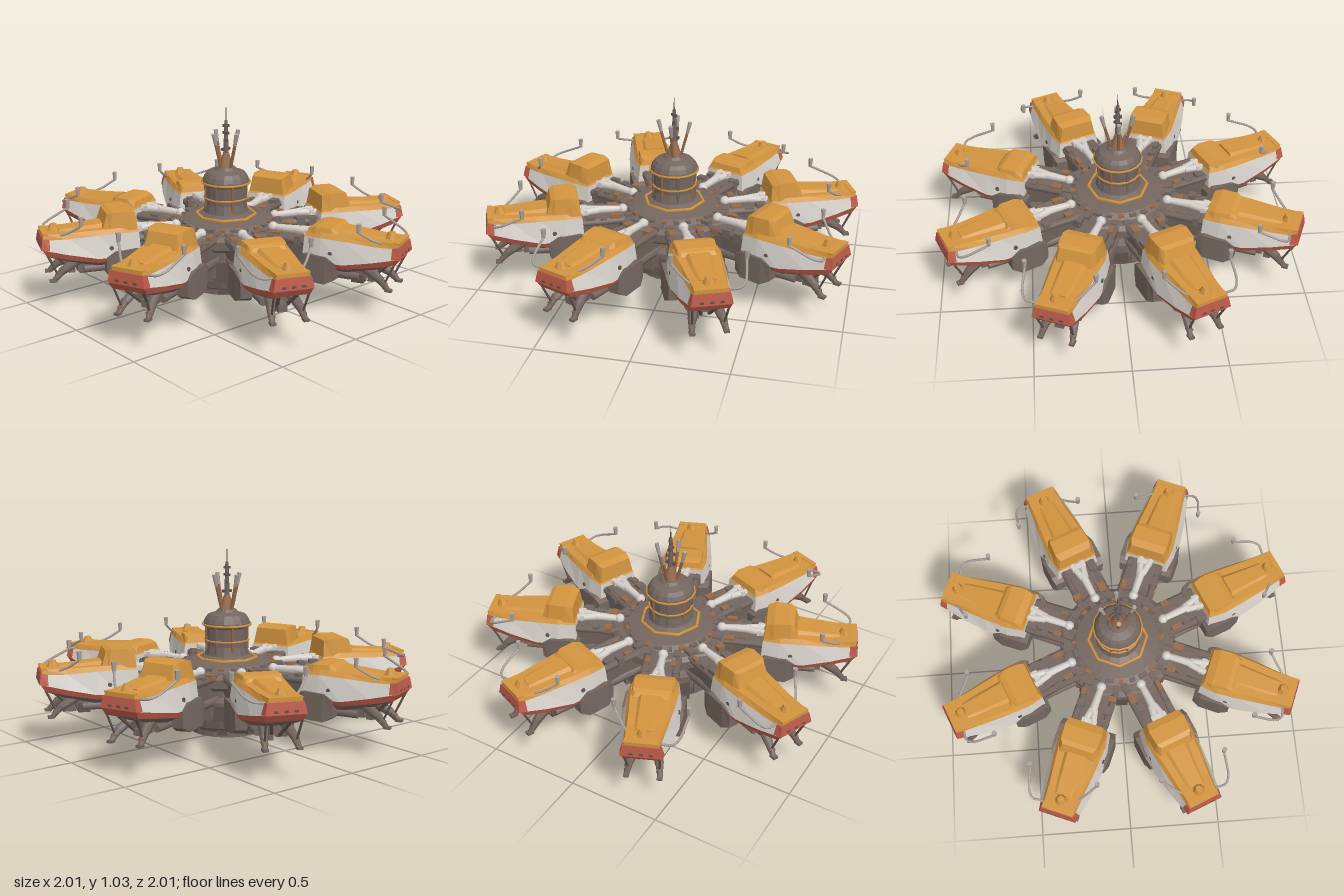
import * as THREE from 'three';

const mat = (name, color) => Object.assign(new THREE.MeshStandardMaterial({ color }), { name });
const GREY = mat('grey brown metal', 0x74665f);
const DARK = mat('dark metal', 0x5f544f);
const ORANGE = mat('orange paint', 0xd2943f);
const WHITE = mat('off white paint', 0xd6d0ca);
const RED = mat('red paint', 0xbd5b49);
const RUST = mat('rust brown', 0x95694a);
const PALE = mat('pale metal', 0xaba19b);

let seed = 7;
const rnd = (a, b) => {
  seed = (seed * 16807) % 2147483647;
  return a + (b - a) * (seed / 2147483647);
};

function flat(g) {
  const f = g.index ? g.toNonIndexed() : g;
  f.computeVertexNormals();
  return f;
}
function add(parent, name, geo, material, x = 0, y = 0, z = 0) {
  const m = new THREE.Mesh(geo, material);
  m.name = name;
  m.position.set(x, y, z);
  parent.add(m);
  return m;
}
const box = (p, n, m, w, h, d, x, y, z) => add(p, n, new THREE.BoxGeometry(w, h, d), m, x, y, z);

// Straight round bar between two points, with its own end radii
function bar(parent, name, material, a, b, r0, r1 = r0, sides = 6) {
  const A = new THREE.Vector3(...a), B = new THREE.Vector3(...b);
  const m = add(parent, name, new THREE.CylinderGeometry(r1, r0, A.distanceTo(B), sides), material);
  m.position.copy(A).lerp(B, 0.5);
  m.quaternion.setFromUnitVectors(new THREE.Vector3(0, 1, 0), B.sub(A).normalize());
  return m;
}

// Closed hull slice between a lower and an upper rail; rail points are [z, half width, y]
function slice(low, high) {
  const rings = low.map(([z, w, y], i) => {
    const [Z, W, Y] = high[i];
    return [[-w, y, z], [w, y, z], [W, Y, Z], [-W, Y, Z]];
  });
  const pos = [];
  const quad = (a, b, c, d) => pos.push(...a, ...b, ...c, ...a, ...c, ...d);
  for (let i = 0; i < rings.length - 1; i++)
    for (let j = 0; j < 4; j++) {
      const k = (j + 1) % 4;
      quad(rings[i][j], rings[i][k], rings[i + 1][k], rings[i + 1][j]);
    }
  quad(...rings[rings.length - 1]);
  quad(...[...rings[0]].reverse());
  const g = new THREE.BufferGeometry();
  g.setAttribute('position', new THREE.Float32BufferAttribute(pos, 3));
  g.computeVertexNormals();
  return g;
}

const KEEL = [[.54, .08, .24], [.62, .09, .235], [.75, .09, .235], [.9, .07, .265], [.97, .06, .295]];
const CHINE = [[.52, .122, .295], [.62, .14, .265], [.75, .14, .265], [.9, .122, .29], [1.015, .096, .312]];
const BELT = [[.52, .128, .318], [.62, .15, .288], [.75, .15, .29], [.9, .132, .32], [1.04, .104, .352]];
const GUNWALE = [[.525, .118, .41], [.62, .132, .415], [.75, .122, .41], [.9, .104, .40], [1.03, .09, .40]];
const DECK = [[.54, .108, .43], [.62, .116, .44], [.75, .104, .435], [.9, .09, .428], [1.03, .082, .43]];

function pod(s, tall) {
  const g = new THREE.Group();
  // Layered hull with a red nose
  add(g, 'podKeel', slice(KEEL, CHINE), GREY);
  add(g, 'podRedBelt', slice(CHINE, BELT), RED);
  add(g, 'podWhiteSides', slice(BELT, GUNWALE), WHITE);
  add(g, 'podRoof', slice(GUNWALE, DECK), ORANGE);
  add(g, 'podNose', slice([[1.0, .112, .342], [1.045, .104, .35]], [[1.0, .095, .403], [1.036, .092, .41]]), RED);

  // Cabin at the inner end, and roof details
  const top = tall ? .522 : .463;
  add(g, 'cabin', slice(
    [[.53, .112, .42], [.58, .12, .42], [.68, .114, .42], [.72, .098, .42]],
    [[.538, .095, top - .012], [.58, .106, top], [.665, .10, top], [.69, .085, top - .01]]), ORANGE);
  add(g, 'roofRidge', slice([[.70, .075, .43], [.94, .05, .425]], [[.70, .05, .455], [.94, .035, .435]]), ORANGE);
  add(g, 'roofKnob', flat(new THREE.CylinderGeometry(.018, .034, .035, 8)), ORANGE, 0, .445, .965);
  box(g, 'tipLip', ORANGE, .172, .008, .03, 0, .428, 1.018);
  for (const x of [-.05, 0, .05]) box(g, 'tipVent', DARK, .022, .012, .008, x, .365, 1.04);
  for (const u of [-1, 1]) {
    const port = add(g, 'sidePort', new THREE.CylinderGeometry(.012, .012, .008, 8), DARK, u * .139, .34, .68);
    port.rotation.z = Math.PI / 2 + u * .1;
  }

  // Engine boxes under the inner end
  for (const u of [-1, 1]) {
    const e = add(g, 'engineBox', slice(
      [[.50, .03, .21], [.54, .042, .178], [.66, .042, .172], [.71, .03, .20]],
      [[.50, .04, .30], [.54, .05, .325], [.66, .05, .32], [.71, .04, .29]]), GREY, u * .138, 0, 0);
    e.rotation.z = u * .08;
    bar(g, 'enginePipe', GREY, [u * .07, .22, .5], [u * .07, .215, .82], .026, .02, 8);
    // Landing legs with feet and braces
    bar(g, 'leg', GREY, [u * .05, .28, .83], [u * .075, .215, .94], .034, .022);
    bar(g, 'shin', GREY, [u * .075, .225, .93], [u * .085, .17, .985], .023, .014);
    box(g, 'foot', GREY, .028, .014, .036, u * .085, .172, .987);
    box(g, 'ankle', RUST, .03, .012, .03, u * .08, .198, .96);
    bar(g, 'legBrace', DARK, [u * .09, .32, 1.015], [u * .08, .20, .96], .006);
    bar(g, 'legBrace', DARK, [u * .05, .30, .97], [u * .02, .21, .88], .009);
  }
  box(g, 'belly', GREY, .12, .05, .26, 0, .225, .72);
  for (let i = 0; i < 5; i++)
    box(g, 'bellyFitting', i % 2 ? DARK : GREY, rnd(.03, .07), rnd(.03, .05), rnd(.03, .07), rnd(-.05, .05), rnd(.2, .22), .6 + i * .07);

  // Long bent arm on one side, short straight arm on the other
  const arm = (pts) => {
    const p = pts.map(([u, y, z]) => new THREE.Vector3(u * s, y, z));
    add(g, 'hookArm', new THREE.TubeGeometry(new THREE.CatmullRomCurve3(p, false, 'catmullrom', .3), 12, .007, 5), PALE);
    const e = p[p.length - 1];
    add(g, 'hookLamp', flat(new THREE.CylinderGeometry(.014, .01, .05, 6)), PALE, e.x, e.y + .022, e.z);
  };
  arm([[.08, .40, .99], [.15, .41, 1.0], [.185, .43, .96], [.212, .48, .85]]);
  arm([[-.07, .41, .96], [-.12, .44, .90], [-.165, .485, .842]]);
  return g;
}

function spoke() {
  const g = new THREE.Group();
  // Main beam with side rails
  add(g, 'beam', slice([[.18, .08, .25], [.36, .07, .25], [.56, .085, .23]], [[.18, .10, .385], [.36, .085, .375], [.56, .10, .385]]), GREY);
  for (const u of [-1, 1]) {
    bar(g, 'beamRail', GREY, [u * .085, .37, .24], [u * .085, .365, .56], .022, .022, 6);
    bar(g, 'lowerPipe', GREY, [u * .06, .24, .22], [u * .055, .23, .58], .03, .03, 8);
    for (let i = 0; i < 4; i++)
      box(g, 'beamFitting', i === 1 ? RUST : GREY, rnd(.025, .05), rnd(.03, .05), rnd(.03, .06), u * rnd(.065, .09), rnd(.36, .385), .27 + i * .07);
  }
  // White conduit along the top, forked at the pod end
  bar(g, 'conduit', WHITE, [0, .395, .29], [0, .40, .45], .018, .024, 8);
  for (const u of [-1, 1]) bar(g, 'conduitFork', WHITE, [u * .008, .40, .43], [u * .032, .40, .545], .02, .02, 8);
  add(g, 'conduitKnob', new THREE.SphereGeometry(.028, 8, 6), WHITE, 0, .395, .29);
  box(g, 'conduitClamp', WHITE, .085, .03, .03, 0, .402, .505);
  return g;
}

const lathe = (pts, sides) => flat(new THREE.LatheGeometry(pts.map((p) => new THREE.Vector2(...p)), sides));

function hub() {
  const g = new THREE.Group();
  add(g, 'hubBody', lathe([[0, .012], [.13, .012], [.2, .02], [.2, .05], [.235, .075], [.285, .09], [.3, .15], [.3, .235],
    [.26, .25], [.24, .30], [.27, .34], [.27, .39], [.235, .415], [.14, .43], [0, .43]], 24), GREY);
  // Octagonal collar, its flats between the spokes
  const collar = add(g, 'octagonCollar', lathe([[.22, .29], [.33, .30], [.355, .32], [.355, .365], [.33, .385], [.22, .395]], 8), GREY);
  collar.rotation.y = Math.PI / 8;
  box(g, 'bottomHatch', DARK, .2, .012, .12, 0, .008, 0);
  // Plates and fittings around the hub
  for (let i = 0; i < 24; i++) {
    const h = new THREE.Group();
    h.name = 'hubFittings';
    h.rotation.y = (i / 24) * Math.PI * 2;
    g.add(h);
    box(h, 'lowerPlate', i % 3 ? GREY : DARK, rnd(.04, .07), rnd(.06, .12), .03, 0, rnd(.14, .19), .292);
    box(h, 'waistFitting', i % 4 ? GREY : RUST, rnd(.02, .05), rnd(.03, .06), .04, 0, rnd(.26, .33), .265);
    box(h, 'rimFitting', i % 3 ? GREY : RUST, rnd(.02, .05), .025, rnd(.03, .05), 0, .40, .24);
    if (i % 3 === 0) box(h, 'bottomFitting', DARK, .05, .04, .04, 0, .055, .2);
  }
  return g;
}

function tower() {
  const g = new THREE.Group();
  add(g, 'towerBody', lathe([[.17, .41], [.155, .435], [.125, .45], [.114, .5], [.118, .6], [.132, .612], [.13, .63], [.12, .652],
    [.104, .672], [.062, .686], [.05, .70], [0, .70]], 16), GREY);
  // Orange rings
  for (const [r, y, t, n] of [[.165, .432, .010, 8], [.121, .53, .006, 16], [.133, .617, .007, 16]])
    add(g, 'towerRing', new THREE.TorusGeometry(r, t, 5, n).rotateX(Math.PI / 2), ORANGE, 0, y, 0);
  for (let i = 0; i < 8; i++) {
    const a = (i + .5) * Math.PI / 4;
    bar(g, 'towerRib', i % 2 ? RUST : GREY, [Math.sin(a) * .115, .45, Math.cos(a) * .115], [Math.sin(a) * .118, .61, Math.cos(a) * .118], .008);
  }
  // Mast with crossbars and needle
  bar(g, 'mastBase', RUST, [0, .69, 0], [0, .78, 0], .045, .016, 8);
  bar(g, 'mast', GREY, [0, .75, 0], [0, .96, 0], .016, .009);
  bar(g, 'needle', DARK, [0, .94, 0], [0, 1.03, 0], .004, .002, 5);
  [.80, .85, .89, .93].forEach((y, i) => {
    const m = box(g, 'crossbar', DARK, .055 - i * .006, .014, .016, 0, y, 0);
    m.rotation.y = i * Math.PI / 4;
  });
  // Splayed aerials
  for (const [x, z] of [[1, 0], [-1, 0], [0, 1], [0, -1]]) {
    bar(g, 'aerial', RUST, [x * .035, .69, z * .035], [x * .075, .84, z * .075], .008);
    bar(g, 'aerialTip', PALE, [x * .073, .83, z * .073], [x * .088, .895, z * .088], .009, .012);
  }
  return g;
}

export function createModel() {
  seed = 7;
  const model = new THREE.Group();
  model.name = 'station';
  for (const [name, part] of [['hub', hub()], ['tower', tower()]]) {
    part.name = name;
    model.add(part);
  }
  // Eight spokes, each carrying a docked pod
  for (let k = 0; k < 8; k++) {
    const a = (k + .5) * Math.PI / 4;
    const arm = new THREE.Group();
    arm.name = 'podArm';
    arm.rotation.y = a;
    const p = pod(k % 2 ? -1 : 1, Math.abs(Math.sin(a)) > .7), b = spoke();
    p.name = 'pod';
    b.name = 'spoke';
    arm.add(p, b);
    model.add(arm);
  }
  return model;
}
